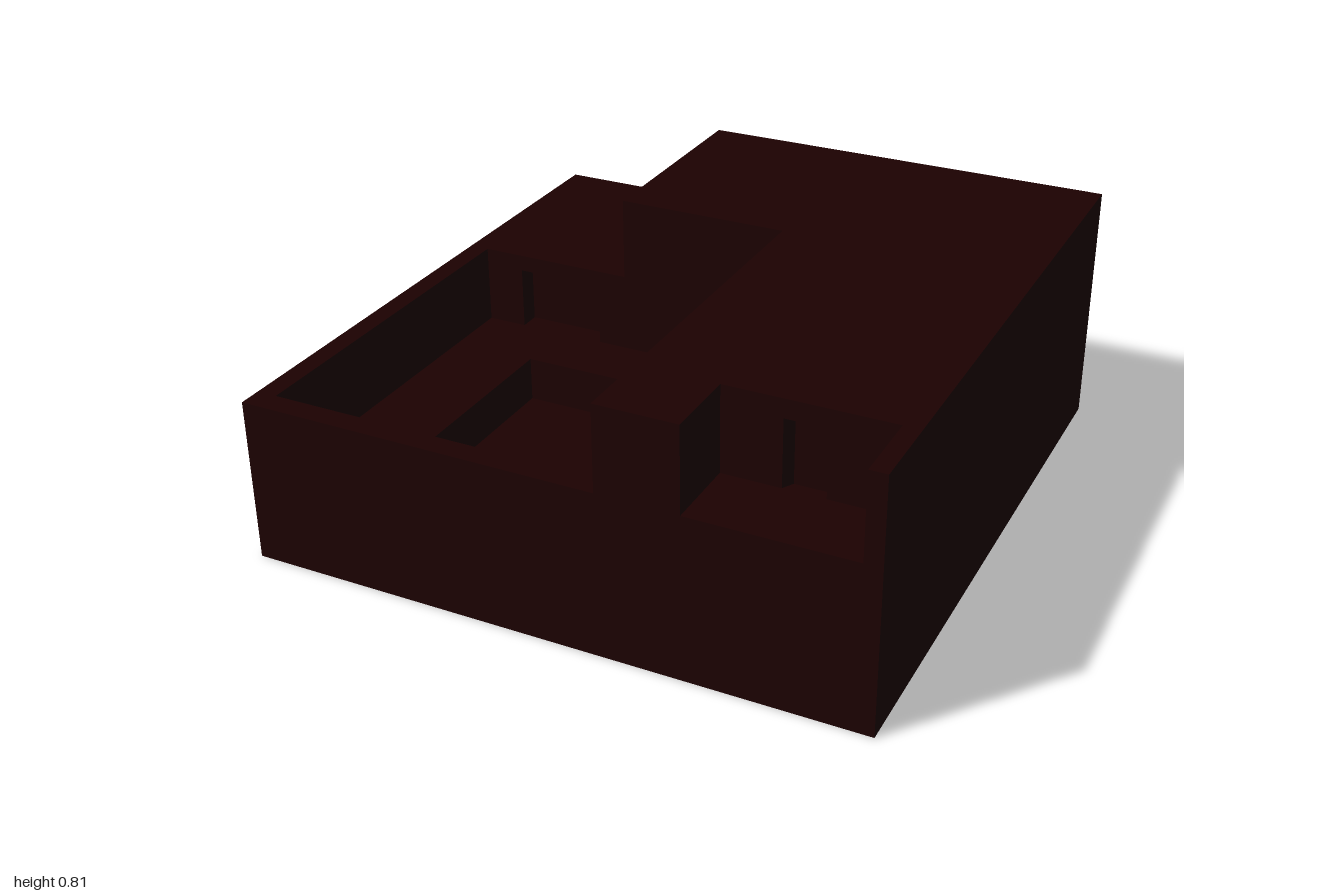
import * as THREE from 'three';

const material = new THREE.MeshStandardMaterial({ color: 0x1c0101, flatShading: true });

// Plan points are [x, z], listed clockwise seen from above; reversed for the shape
const toVectors = (points) => points.map(([x, z]) => new THREE.Vector2(x, -z)).reverse();
const rect = (x0, x1, z0, z1) => [[x0, z0], [x1, z0], [x1, z1], [x0, z1]];

// Raises a floor plan (with an optional opening) from y0 to y1
function storey(name, outline, y0, y1, opening) {
  const shape = new THREE.Shape(toVectors(outline));
  if (opening) shape.holes.push(new THREE.Path(toVectors(opening)));
  const geometry = new THREE.ExtrudeGeometry(shape, { depth: y1 - y0, bevelEnabled: false });
  geometry.rotateX(-Math.PI / 2).translate(0, y0, 0);
  const mesh = new THREE.Mesh(geometry, material);
  mesh.name = name;
  return mesh;
}

// Upper floor plan, with optional niches for the porch and terrace doors
function upperPlan(porchDoor = [], terraceDoor = []) {
  return [
    [-0.4, -1], [1, -1], [1, 1], [0.945, 1], [0.945, 0.755],
    ...porchDoor,
    [0.43, 0.755], [0.43, 1], [0.17, 1], [0.17, -0.26], [-0.4, -0.26],
    ...terraceDoor,
  ];
}

export function createModel() {
  const group = new THREE.Group();
  group.name = 'courtyardHouse';

  const block = rect(-1, 1, -1, 1);
  const pool = rect(-0.65, -0.19, -0.045, 0.725);
  const courtyard = rect(-0.935, 0.17, -0.26, 0.925);
  // Courtyard with a wide door niche in its back wall
  const courtyardWithDoor = [
    [-0.935, -0.26], [-0.8, -0.26], [-0.8, -0.33], [-0.5, -0.33],
    [-0.5, -0.26], [0.17, -0.26], [0.17, 0.925], [-0.935, 0.925],
  ];
  const porchDoor = [[0.745, 0.755], [0.745, 0.72], [0.635, 0.72], [0.615, 0.755]];
  const terraceDoor = [[-0.4, -0.43], [-0.32, -0.43], [-0.32, -0.58], [-0.4, -0.58]];

  group.add(
    storey('foundation', block, 0, 0.12),
    storey('poolBasin', block, 0.12, 0.27, pool),
    storey('courtyardWalls', block, 0.27, 0.48, courtyardWithDoor),
    storey('courtyardRim', block, 0.48, 0.535, courtyard),
    storey('upperWalls', upperPlan(porchDoor, terraceDoor), 0.535, 0.75),
    storey('roof', upperPlan(), 0.75, 0.81),
  );
  return group;
}
